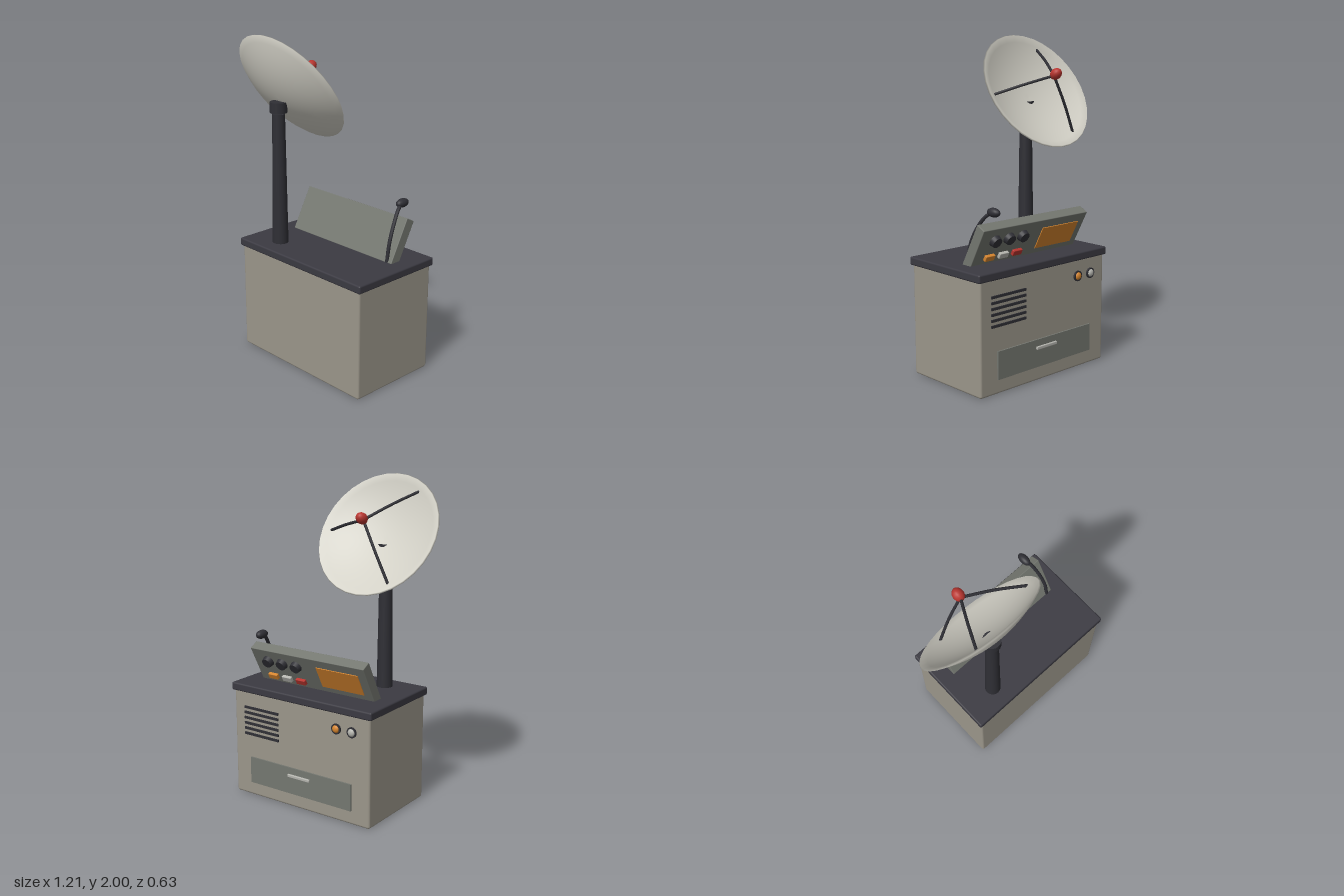
import * as THREE from 'three';
import { RoundedBoxGeometry } from 'three/addons/geometries/RoundedBoxGeometry.js';

const material = (name, color) => {
  const m = new THREE.MeshStandardMaterial({ color });
  m.name = name;
  return m;
};

export function createModel() {
  const beige = material('cabinet beige', 0x9b968a);
  const slate = material('countertop slate', 0x3b3a42);
  const charcoal = material('charcoal', 0x2f2f35);
  const panelGrey = material('panel grey', 0x747770);
  const ivory = material('dish ivory', 0xd2d0c6);
  const orange = material('amber', 0xd6852e);
  const red = material('red', 0xb8352f);
  const silver = material('silver', 0xb4b4ae);

  const root = new THREE.Group();
  root.name = 'satelliteConsole';

  const add = (parent, name, geometry, mat, x = 0, y = 0, z = 0) => {
    const mesh = new THREE.Mesh(geometry, mat);
    mesh.name = name;
    mesh.position.set(x, y, z);
    parent.add(mesh);
    return mesh;
  };
  const group = (name, x, y, z, tilt) => {
    const g = new THREE.Group();
    g.name = name;
    g.position.set(x, y, z);
    g.rotation.x = tilt;
    root.add(g);
    return g;
  };
  const box = (w, h, d, r) => r ? new RoundedBoxGeometry(w, h, d, 2, r) : new THREE.BoxGeometry(w, h, d);
  const tube = (points, r) => new THREE.TubeGeometry(
    new THREE.CatmullRomCurve3(points.map(p => new THREE.Vector3(...p))), 20, r, 8);

  // Cabinet and countertop
  add(root, 'cabinet', box(1.01, 0.68, 0.596, 0.014), beige, 0.083, 0.34, 0.005);
  add(root, 'countertop', box(1.04, 0.05, 0.62, 0.01), slate, 0.083, 0.695, 0.005);

  // Back of the cabinet: vents, drawer, indicator lamps
  for (let i = 0; i < 6; i++) {
    add(root, 'ventSlat', box(0.265, 0.015, 0.016), charcoal, 0.375, 0.405 + i * 0.034, -0.293);
  }
  add(root, 'drawer', box(0.76, 0.168, 0.014), panelGrey, 0.083, 0.171, -0.296);
  add(root, 'drawerHandle', box(0.165, 0.02, 0.014, 0.005), silver, 0.083, 0.205, -0.308);
  [[-0.19, orange], [-0.3, silver]].forEach(([x, mat]) => {
    const bezel = add(root, 'lampBezel', new THREE.CylinderGeometry(0.032, 0.032, 0.016, 20), charcoal, x, 0.575, -0.295);
    bezel.rotation.x = Math.PI / 2;
    const lamp = add(root, 'indicatorLamp', new THREE.SphereGeometry(0.024, 16, 12), mat, x, 0.575, -0.3);
    lamp.scale.z = 0.65;
  });

  // Tilted control panel; its control face looks toward local -z
  const panel = group('controlPanel', 0.084, 0.7045, -0.074, -0.488);
  add(panel, 'panelBody', box(0.838, 0.283, 0.066, 0.004), panelGrey, 0, 0.1415, 0);
  add(panel, 'screen', box(0.3, 0.15, 0.008), orange, -0.213, 0.15, -0.034);
  [[0.39, orange], [0.283, silver], [0.176, red]].forEach(([x, mat]) => {
    const knob = add(panel, 'knob', new THREE.CylinderGeometry(0.038, 0.032, 0.03, 20), charcoal, x - 0.084, 0.2, -0.046);
    knob.rotation.x = Math.PI / 2;
    add(panel, 'button', box(0.07, 0.036, 0.022, 0.004), mat, x - 0.084, 0.083, -0.042);
  });

  // Gooseneck microphone
  add(root, 'microphoneNeck', tube([
    [0.465, 0.72, -0.05], [0.463, 0.83, -0.07], [0.452, 0.93, -0.115],
    [0.435, 1.005, -0.17], [0.42, 1.034, -0.215],
  ], 0.011), charcoal);
  const head = add(root, 'microphoneHead', new THREE.SphereGeometry(0.027, 16, 12), charcoal, 0.42, 1.034, -0.222);
  head.scale.z = 1.78;

  // Mast and collar
  add(root, 'mast', new THREE.CylinderGeometry(0.038, 0.049, 0.81, 20), charcoal, -0.213, 1.12, 0.178);
  add(root, 'mastCollar', new THREE.CylinderGeometry(0.052, 0.052, 0.064, 20), charcoal, -0.213, 1.565, 0.178);

  // Dish: opening faces local +y
  const dish = group('dish', -0.213, 1.67, 0.077, -0.997);
  const R = 0.393;
  const profile = [];
  for (let i = 0; i <= 10; i++) {
    const t = i / 10;
    profile.push(new THREE.Vector2(R * t, -0.11 * (1 - t * t) - 0.004));
  }
  for (let i = 10; i >= 0; i--) {
    const t = i / 10;
    profile.push(new THREE.Vector2((R - 0.006) * t, -0.095 * (1 - t * t) + 0.004));
  }
  add(dish, 'reflector', new THREE.LatheGeometry(profile, 32), ivory);

  // Feed horn on three struts
  const feed = add(dish, 'feedHorn', new THREE.SphereGeometry(0.033, 16, 12), red, 0, 0.188, 0);
  feed.scale.y = 1.25;
  for (let i = 0; i < 3; i++) {
    const a = i * Math.PI * 2 / 3, c = Math.cos(a), s = Math.sin(a);
    add(dish, 'strut', tube([
      [0.34 * c, -0.024, 0.34 * s], [0.175 * c, 0.078, 0.175 * s], [0.008 * c, 0.165, 0.008 * s],
    ], 0.0085), charcoal);
  }
  return root;
}
